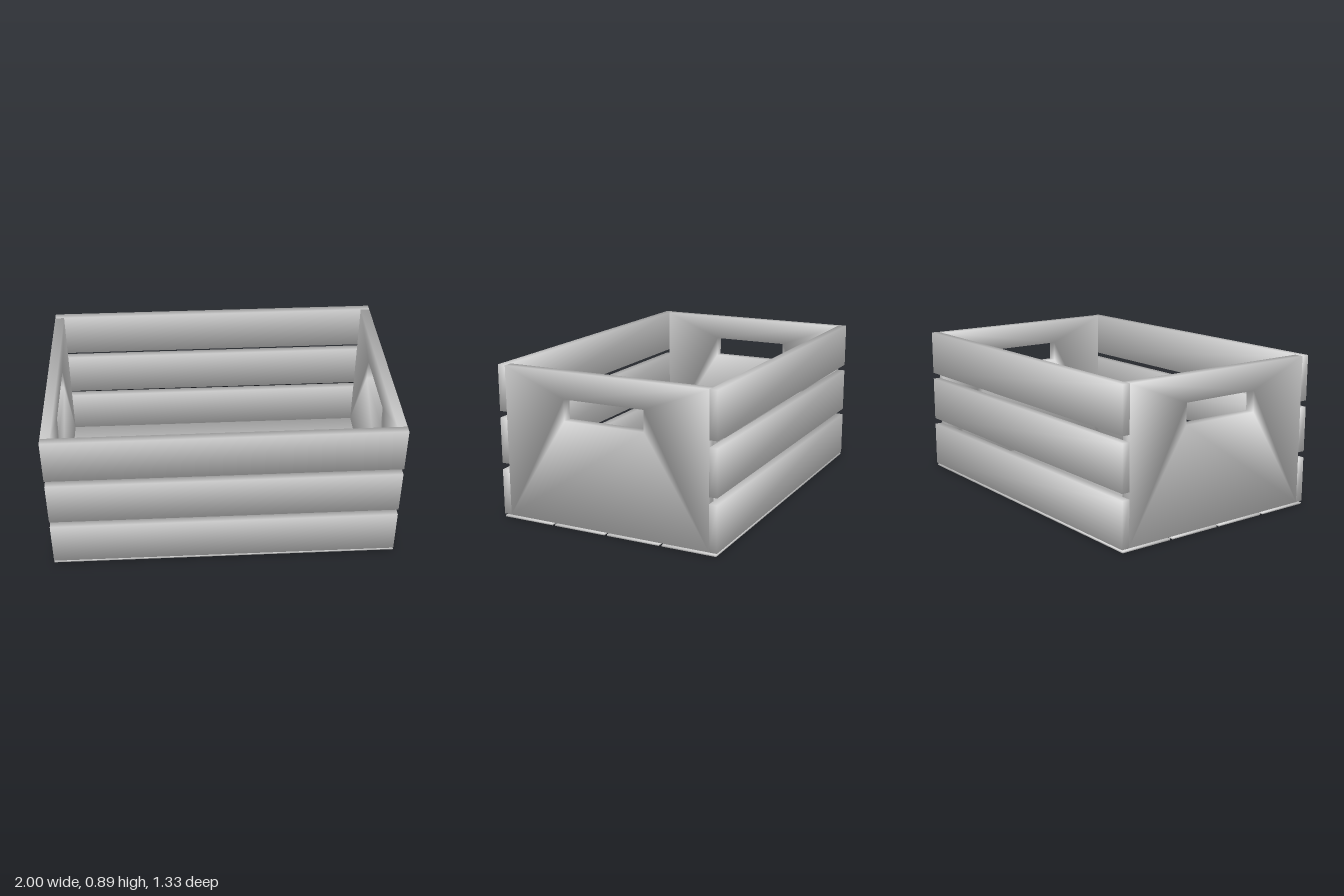
import * as THREE from 'three';

const material = new THREE.MeshStandardMaterial({ color: 0xcccccc });

// Soft shading: each corner's normal is the mean of the faces that meet there
function soften(source) {
  const geometry = source.index ? source.toNonIndexed() : source;
  geometry.deleteAttribute('uv');
  geometry.computeVertexNormals();
  const pos = geometry.attributes.position;
  const nor = geometry.attributes.normal;
  const key = (a, i) => [a.getX(i), a.getY(i), a.getZ(i)].map((v) => Math.round(v * 1e4)).join();
  const corners = new Map();
  for (let i = 0; i < pos.count; i++) {
    const k = key(pos, i);
    if (!corners.has(k)) corners.set(k, new Map());
    corners.get(k).set(key(nor, i), new THREE.Vector3().fromBufferAttribute(nor, i));
  }
  for (let i = 0; i < pos.count; i++) {
    const n = new THREE.Vector3();
    corners.get(key(pos, i)).forEach((face) => n.add(face));
    n.normalize();
    nor.setXYZ(i, n.x, n.y, n.z);
  }
  return geometry;
}

function addMesh(group, name, geometry, x, y, z) {
  const mesh = new THREE.Mesh(geometry, material);
  mesh.name = name;
  mesh.position.set(x, y, z);
  group.add(mesh);
}

// End board with a rectangular hand hole, lying in the y-z plane
function endPanelGeometry(thickness) {
  const rect = (Type, w, y0, y1) => new Type([
    new THREE.Vector2(-w, y0), new THREE.Vector2(w, y0),
    new THREE.Vector2(w, y1), new THREE.Vector2(-w, y1),
  ]);
  const shape = rect(THREE.Shape, 0.62, 0.018, 0.885);
  shape.holes.push(rect(THREE.Path, 0.243, 0.615, 0.735));
  const geometry = new THREE.ExtrudeGeometry(shape, { depth: thickness, bevelEnabled: false });
  geometry.translate(0, 0, -thickness / 2);
  geometry.rotateY(Math.PI / 2);
  return soften(geometry);
}

export function createModel() {
  const crate = new THREE.Group();
  crate.name = 'slattedCrate';

  // End panels
  const thickness = 0.055;
  const panel = endPanelGeometry(thickness);
  addMesh(crate, 'leftEndPanel', panel, 1 - thickness / 2, 0, 0);
  addMesh(crate, 'rightEndPanel', panel, -1 + thickness / 2, 0, 0);

  // Three slats on each long side
  const slat = soften(new THREE.BoxGeometry(2, 0.264, 0.046));
  ['lower', 'middle', 'upper'].forEach((level, i) => {
    const y = 0.15 + i * 0.302;
    addMesh(crate, level + 'FrontSlat', slat, 0, y, 0.643);
    addMesh(crate, level + 'BackSlat', slat, 0, y, -0.643);
  });

  // Four thin floor boards
  const board = soften(new THREE.BoxGeometry(2, 0.009, 0.318));
  for (let i = 0; i < 4; i++) {
    addMesh(crate, 'floorBoard' + (i + 1), board, 0, 0.0045, (i - 1.5) * 0.335);
  }
  return crate;
}
